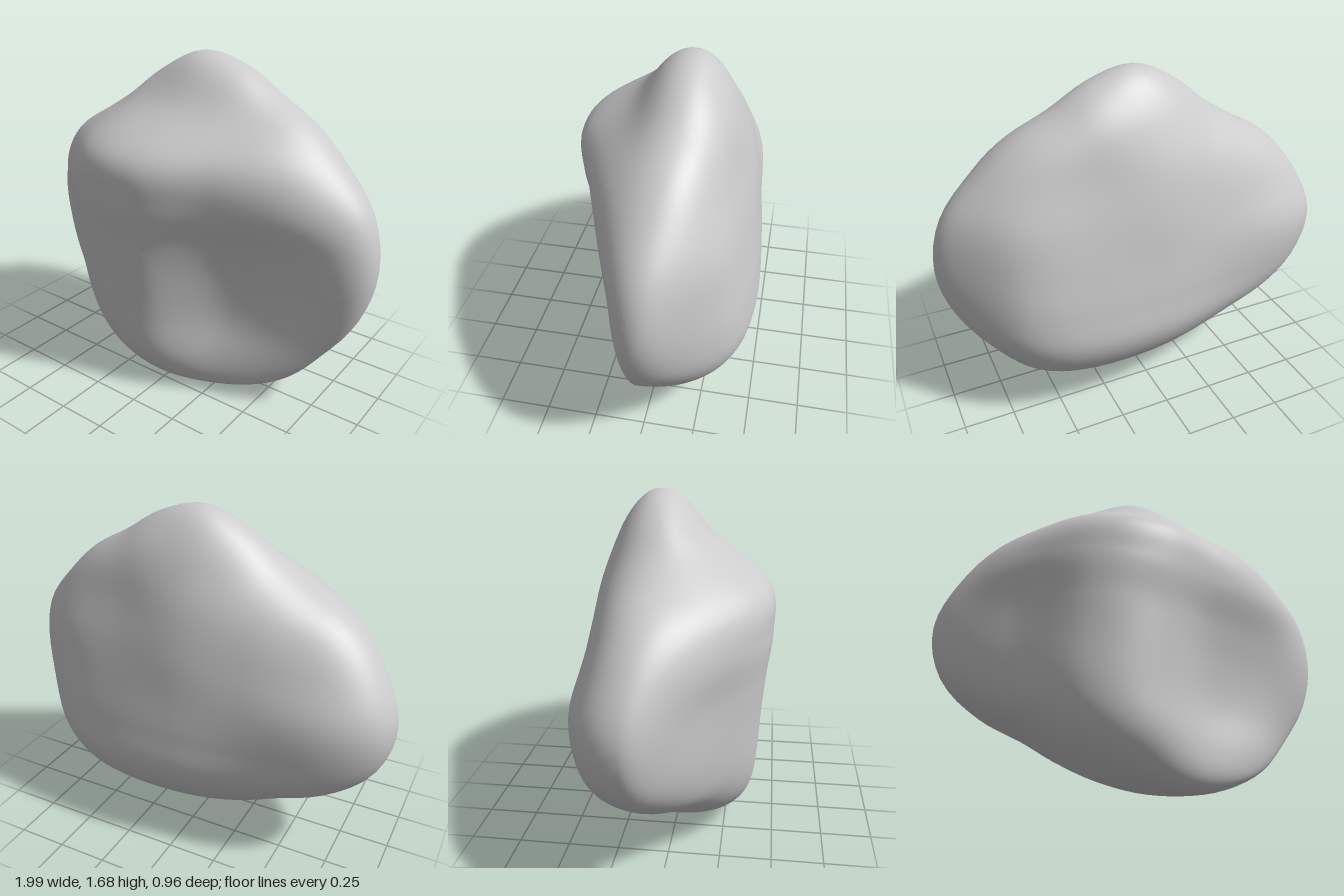
import * as THREE from 'three';
import { mergeVertices } from 'three/addons/utils/BufferGeometryUtils.js';

// Outline radius every 15 degrees, anticlockwise from +x, around (0, 0.8)
const CENTRE_Y = 0.8;
const OUTLINE = [
  1.0, 0.98, 0.905, 0.86, 0.827, 0.86, 0.88, 0.81, 0.75, 0.767, 0.85, 0.925,
  0.99, 0.965, 0.865, 0.77, 0.754, 0.77, 0.795, 0.823, 0.865, 0.905, 0.925, 0.973,
];
// Depth of the rim every 30 degrees
const RIM = [-0.03, -0.06, -0.1, -0.1, -0.05, -0.07, -0.13, -0.08, 0.05, 0.13, 0.1, 0.02];

// Depths of the two broad faces; columns run x = -1..1, rows y = 0..1.68
const FRONT = [
  [0.1, 0.25, 0.35, 0.35, 0.24, 0.14, 0.06],
  [0.06, 0.21, 0.37, 0.38, 0.21, 0.12, 0.08],
  [0.03, 0.18, 0.38, 0.385, 0.18, 0.1, 0.1],
  [0.02, 0.18, 0.39, 0.4, 0.2, 0.11, 0.12],
  [0.03, 0.19, 0.41, 0.42, 0.25, 0.15, 0.13],
  [0.04, 0.23, 0.43, 0.455, 0.32, 0.21, 0.13],
  [0.03, 0.2, 0.4, 0.43, 0.31, 0.2, 0.08],
  [-0.02, 0.05, 0.15, 0.17, 0.13, 0.09, 0.03],
  [-0.05, -0.05, 0.02, 0.08, 0.06, 0.03, -0.05],
];
const BACK = [
  [-0.06, -0.08, -0.1, -0.12, -0.13, -0.14, -0.12],
  [-0.22, -0.25, -0.3, -0.35, -0.365, -0.34, -0.25],
  [-0.32, -0.37, -0.42, -0.47, -0.475, -0.42, -0.27],
  [-0.36, -0.41, -0.44, -0.475, -0.47, -0.41, -0.22],
  [-0.37, -0.41, -0.43, -0.455, -0.44, -0.38, -0.2],
  [-0.31, -0.34, -0.39, -0.43, -0.4, -0.35, -0.2],
  [-0.26, -0.28, -0.34, -0.385, -0.35, -0.3, -0.2],
  [-0.24, -0.25, -0.27, -0.32, -0.32, -0.27, -0.2],
  [-0.24, -0.24, -0.24, -0.26, -0.27, -0.26, -0.2],
];

// Smooth cubic through b and c, with neighbours a and d
function cubic([a, b, c, d], t) {
  return b + 0.5 * t * (c - a + t * (2 * a - 5 * b + 4 * c - d + t * (3 * (b - c) + d - a)));
}

// Value of a closed list at a fraction of a full turn
function around(list, turn) {
  const n = list.length;
  const i = Math.floor(turn * n);
  return cubic([-1, 0, 1, 2].map((o) => list[(i + o + n) % n]), turn * n - i);
}

// Value of an open list at a fractional index
function along(list, u) {
  const last = list.length - 1;
  const i = THREE.MathUtils.clamp(Math.floor(u), 0, last - 1);
  return cubic([-1, 0, 1, 2].map((o) => list[THREE.MathUtils.clamp(i + o, 0, last)]), u - i);
}

function faceDepth(grid, x, y) {
  return along(grid.map((row) => along(row, (x + 1) * 3)), y / 0.21);
}

// Rings run from the middle of the front, over the rounded rim, to the middle of the back
function rockGeometry(segments = 96, rings = 72) {
  const positions = [];
  const indices = [];
  for (let j = 0; j <= rings; j++) {
    const s = Math.sin((j / rings) * Math.PI);
    const blend = Math.sqrt(Math.max(0, 1 - s ** 8));
    const grid = j <= rings / 2 ? FRONT : BACK;
    for (let i = 0; i < segments; i++) {
      const turn = i / segments;
      const r = s * around(OUTLINE, turn);
      const x = r * Math.cos(turn * Math.PI * 2);
      const y = CENTRE_Y + r * Math.sin(turn * Math.PI * 2);
      positions.push(x, y, THREE.MathUtils.lerp(around(RIM, turn), faceDepth(grid, x, y), blend));
    }
  }
  for (let j = 0; j < rings; j++) {
    for (let i = 0; i < segments; i++) {
      const n = (i + 1) % segments;
      const a = j * segments + i, b = a + segments;
      const d = j * segments + n, c = d + segments;
      if (j < rings - 1) indices.push(a, b, c);
      if (j > 0) indices.push(a, c, d);
    }
  }
  const geometry = new THREE.BufferGeometry();
  geometry.setAttribute('position', new THREE.Float32BufferAttribute(positions, 3));
  geometry.setIndex(indices);
  const merged = mergeVertices(geometry, 1e-5);
  merged.computeVertexNormals();
  return merged;
}

export function createModel() {
  const group = new THREE.Group();
  group.name = 'boulder';
  const rock = new THREE.Mesh(rockGeometry(), new THREE.MeshStandardMaterial({ color: 0xcccccc }));
  rock.name = 'rock';
  group.add(rock);
  return group;
}
